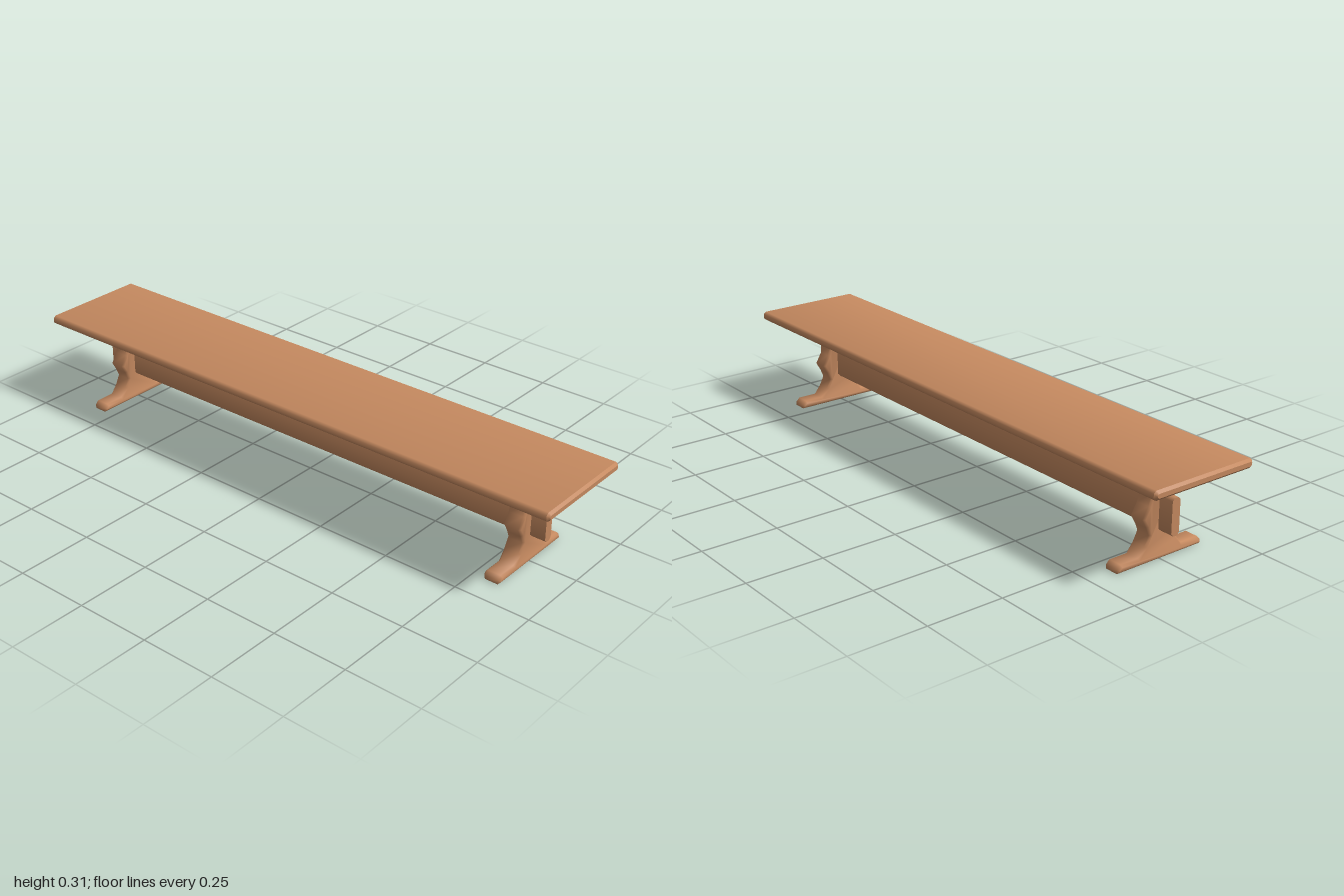
import * as THREE from 'three';
import { mergeVertices, mergeGeometries } from 'three/addons/utils/BufferGeometryUtils.js';

// Smooth normals weighted by corner angle, so bevels round off the broad faces
function smooth(source) {
  let geo = source.index ? source.toNonIndexed() : source;
  geo.deleteAttribute('normal');
  geo.deleteAttribute('uv');
  geo.clearGroups();
  geo = mergeVertices(geo, 1e-5);
  const pos = geo.attributes.position, idx = geo.index;
  const sums = Array.from({ length: pos.count }, () => new THREE.Vector3());
  for (let i = 0; i < idx.count; i += 3) {
    const ids = [0, 1, 2].map(k => idx.getX(i + k));
    const p = ids.map(id => new THREE.Vector3().fromBufferAttribute(pos, id));
    const n = p[1].clone().sub(p[0]).cross(p[2].clone().sub(p[0])).normalize();
    ids.forEach((id, k) => {
      const a = p[(k + 1) % 3].clone().sub(p[k]);
      const b = p[(k + 2) % 3].clone().sub(p[k]);
      sums[id].addScaledVector(n, a.angleTo(b) || 0);
    });
  }
  const normals = sums.flatMap(v => v.normalize().toArray());
  geo.setAttribute('normal', new THREE.Float32BufferAttribute(normals, 3));
  return geo.toNonIndexed();
}

// Eight-sided board section: half height h, half depth d, chamfers cy and cz
function section(x, h, d, cy, cz) {
  return [[h, d - cz], [h - cy, d], [cy - h, d], [-h, d - cz],
    [-h, cz - d], [cy - h, -d], [h - cy, -d], [h, cz - d]]
    .map(([y, z]) => new THREE.Vector3(x, y, z));
}

// Skin between two sections, or a flat cap when only one is given
function skin(a, b) {
  const pts = [];
  const n = a.length;
  if (b) {
    for (let i = 0; i < n; i++) {
      const j = (i + 1) % n;
      pts.push(a[i], a[j], b[j], a[i], b[j], b[i]);
    }
  } else {
    for (let i = 1; i < n - 1; i++) pts.push(a[0], a[i], a[i + 1]);
  }
  return smooth(new THREE.BufferGeometry().setFromPoints(pts));
}

// Long chamfered board along x with crisp ends, optionally bevelled by "end"
function board(halfLength, h, d, cy, cz, end) {
  const inner = halfLength - end;
  const left = section(-inner, h, d, cy, cz);
  const right = section(inner, h, d, cy, cz);
  const parts = [skin(left, right)];
  const tip = x => section(x, h - cy, d - end, cy * 0.5, cz * 0.5);
  const l = end ? tip(-halfLength) : left;
  const r = end ? tip(halfLength) : right;
  if (end) parts.push(skin(l, left), skin(right, r));
  parts.push(skin([...l].reverse()), skin(r));
  return mergeGeometries(parts);
}

// Trestle leg silhouette (half depth, height), mirrored front to back
function legGeometry() {
  const side = [[0.162, 0], [0.162, 0.013], [0.15, 0.025], [0.084, 0.025],
    [0.061, 0.054], [0.046, 0.084], [0.057, 0.111], [0.073, 0.139],
    [0.052, 0.175], [0.043, 0.209], [0.052, 0.243], [0.084, 0.285]];
  const outline = [...side, ...side.map(([z, y]) => [-z, y]).reverse()];
  const shape = new THREE.Shape(outline.map(([z, y]) => new THREE.Vector2(z, y)));
  const width = 0.058, bevel = 0.007;
  const geo = new THREE.ExtrudeGeometry(shape, {
    depth: width - 2 * bevel, steps: 1, bevelEnabled: true, bevelSegments: 1,
    bevelThickness: bevel, bevelSize: bevel, bevelOffset: -bevel,
  });
  geo.translate(0, 0, bevel - width / 2);
  geo.rotateY(Math.PI / 2);
  return smooth(geo);
}

export function createModel() {
  const bench = new THREE.Group();
  bench.name = 'bench';
  const wood = new THREE.MeshStandardMaterial({ color: 0xc68a60 });
  wood.name = 'wood';

  const add = (name, geometry, x, y) => {
    const mesh = new THREE.Mesh(geometry, wood);
    mesh.name = name;
    mesh.position.set(x, y, 0);
    bench.add(mesh);
  };

  // Seat plank and the stretcher passing through both legs
  add('seat', board(1, 0.015, 0.188, 0.008, 0.009, 0.008), 0, 0.298);
  add('stretcher', board(0.895, 0.059, 0.015, 0.009, 0.009, 0), 0, 0.15);

  // Trestle legs
  const leg = legGeometry();
  add('leftLeg', leg, 0.815, 0);
  add('rightLeg', leg, -0.815, 0);

  return bench;
}
